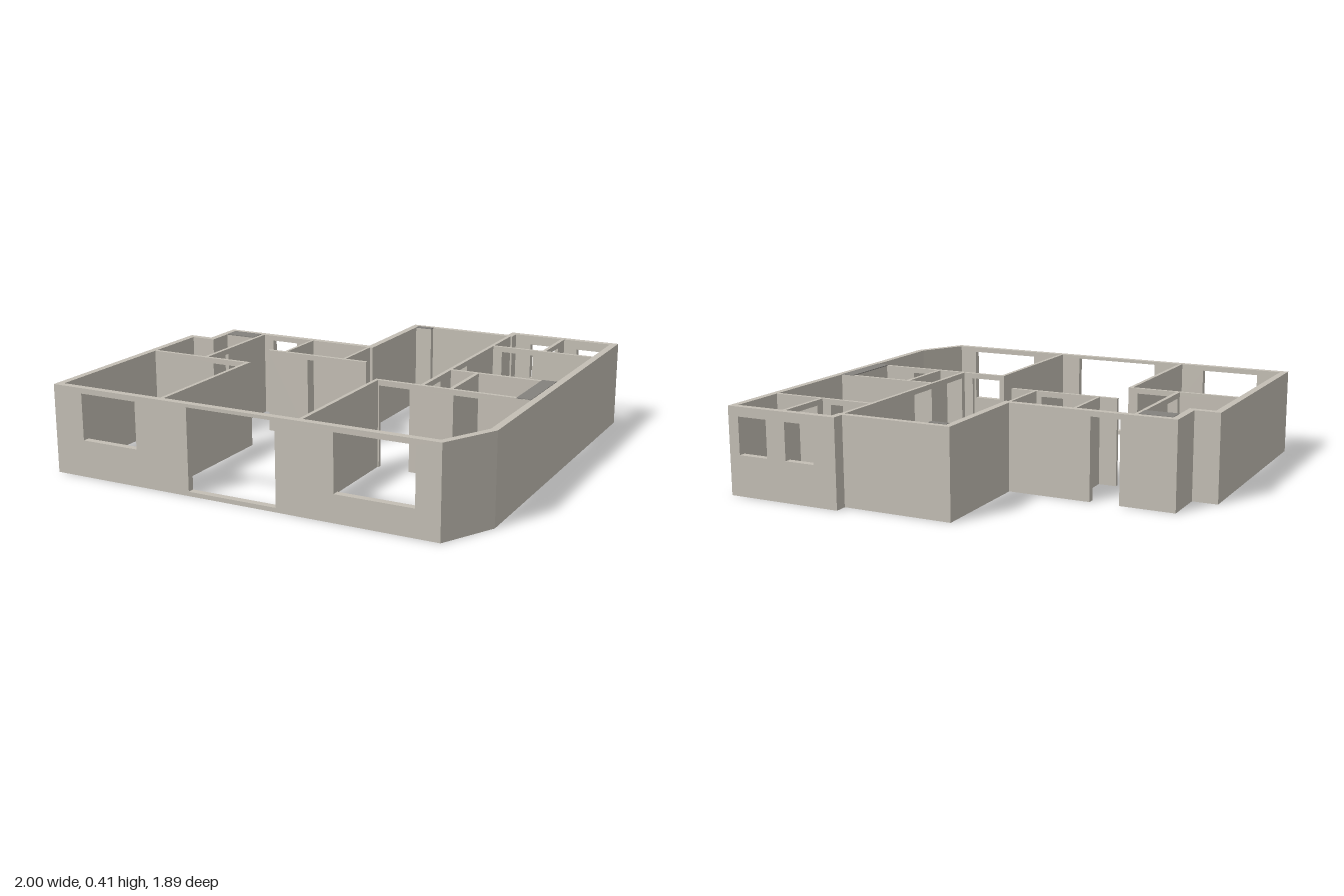
import * as THREE from 'three';

const H = 0.41;      // wall height
const DOOR = 0.385;  // door head height
const T = 0.033;     // outer wall thickness
const t = 0.018;     // partition thickness

export function createModel() {
  const model = new THREE.Group();
  const plaster = new THREE.MeshStandardMaterial({ color: 0xc3beb4 });
  const shaftGrey = new THREE.MeshStandardMaterial({ color: 0x83817d });

  const add = (name, geometry, material = plaster) => {
    const mesh = new THREE.Mesh(geometry, material);
    mesh.name = name;
    model.add(mesh);
  };

  // Elevation from a to b; an opening is [from, to, bottom, top], bottom 0 is a door
  const elevation = (a, b, openings) => {
    const shape = new THREE.Shape();
    shape.moveTo(a, 0);
    openings.filter(o => o[2] === 0).sort((p, q) => p[0] - q[0]).forEach(([u, v, , top]) => {
      shape.lineTo(u, 0); shape.lineTo(u, top); shape.lineTo(v, top); shape.lineTo(v, 0);
    });
    shape.lineTo(b, 0); shape.lineTo(b, H); shape.lineTo(a, H);
    shape.closePath();
    openings.filter(o => o[2] > 0).forEach(([u, v, low, top]) => {
      const hole = new THREE.Path();
      hole.moveTo(u, low); hole.lineTo(u, top); hole.lineTo(v, top); hole.lineTo(v, low);
      hole.closePath();
      shape.holes.push(hole);
    });
    return shape;
  };

  // Wall running along x, its back face at z
  const wallX = (name, a, b, z, depth, openings = []) => {
    const g = new THREE.ExtrudeGeometry(elevation(a, b, openings), { depth, bevelEnabled: false });
    add(name, g.translate(0, 0, z));
  };

  // Wall running along z, its smaller-x face at x
  const wallZ = (name, a, b, x, depth, openings = []) => {
    const g = new THREE.ExtrudeGeometry(elevation(a, b, openings), { depth, bevelEnabled: false });
    add(name, g.rotateY(-Math.PI / 2).translate(x + depth, 0, 0));
  };

  // Solid wall from a plan outline of [x, z] points
  const planWall = (name, points) => {
    const shape = new THREE.Shape(points.map(([x, z]) => new THREE.Vector2(x, -z)));
    const g = new THREE.ExtrudeGeometry(shape, { depth: H, bevelEnabled: false });
    add(name, g.rotateX(-Math.PI / 2));
  };

  const door = (a, b) => [a, b, 0, DOOR];

  // Front wall: window, wide terrace opening, window
  wallX('frontWall', -1, 0.85, 0.945 - T, T, [
    [-0.85, -0.565, 0.17, 0.385], [-0.3, 0.13, 0.02, 0.395], [0.4, 0.76, 0.125, 0.385]]);

  // East wall with the angled corner
  planWall('eastWall', [[0.85, 0.912], [0.85, 0.945], [0.87, 0.945], [1, 0.7], [1, -0.95],
    [0.967, -0.95], [0.967, 0.69]]);

  // Stepped back walls
  wallX('backWallEast', 0.44, 0.967, -0.95, T, [
    [0.553, 0.7, 0.19, 0.365], [0.798, 0.947, 0.19, 0.365]]);
  planWall('backWallMiddle', [[0.44, -0.917], [0.473, -0.917], [0.473, -0.86], [-0.052, -0.86],
    [-0.052, -0.317], [-0.085, -0.317], [-0.085, -0.89], [0.44, -0.89]]);
  wallX('backWallWest', -0.88, -0.085, -0.35, T, [door(-0.62, -0.48)]);

  // West walls
  planWall('westWall', [[-0.88, -0.317], [-0.847, -0.317], [-0.847, -0.107], [-0.967, -0.107],
    [-0.967, 0.912], [-1, 0.912], [-1, -0.14], [-0.88, -0.14]]);

  // Partitions of the east rooms
  wallZ('eastHallPartition', -0.86, 0.21, 0.446, t, [door(-0.28, -0.12), door(0.03, 0.18)]);
  wallX('northBathPartition', 0.464, 0.967, -0.638, t, [door(0.51, 0.67)]);
  wallZ('northBathDivider', -0.917, -0.638, 0.713, t, [door(-0.82, -0.68)]);
  wallX('eastBedroomPartition', 0.464, 0.967, -0.105, t);
  wallZ('eastBathDivider', -0.087, 0.208, 0.584, t);
  wallX('southEastPartition', 0.226, 0.967, 0.208, t, [door(0.25, 0.4), door(0.61, 0.74)]);
  wallZ('livingEastPartition', 0.226, 0.912, 0.226, t);

  // Partitions of the west rooms
  wallZ('livingWestPartition', 0.226, 0.912, -0.452, t);
  wallX('southWestPartition', -0.967, -0.434, 0.208, t, [door(-0.63, -0.48)]);
  wallZ('entryPartition', -0.317, 0.208, -0.689, t, [door(0.03, 0.18)]);
  wallZ('closetWestPartition', -0.317, -0.057, -0.4, 0.014, []);
  wallZ('closetEastPartition', -0.317, -0.057, -0.08, 0.014, []);
  wallX('closetFrontPartition', -0.485, 0.05, -0.057, t, [door(-0.265, -0.105)]);

  // Service shafts with grey caps
  [['westShaft', -0.847, -0.689, -0.317, -0.238],
    ['kitchenShaft', -0.052, 0.033, -0.86, -0.832],
    ['eastShaft', 0.9, 0.967, -0.105, 0.226]].forEach(([name, x0, x1, z0, z1]) => {
    const x = (x0 + x1) / 2, z = (z0 + z1) / 2, w = x1 - x0, d = z1 - z0;
    add(name, new THREE.BoxGeometry(w, H - 0.002, d).translate(x, H / 2 - 0.001, z));
    add(name + 'Cap', new THREE.BoxGeometry(w, 0.004, d).translate(x, H, z), shaftGrey);
  });

  return model;
}
